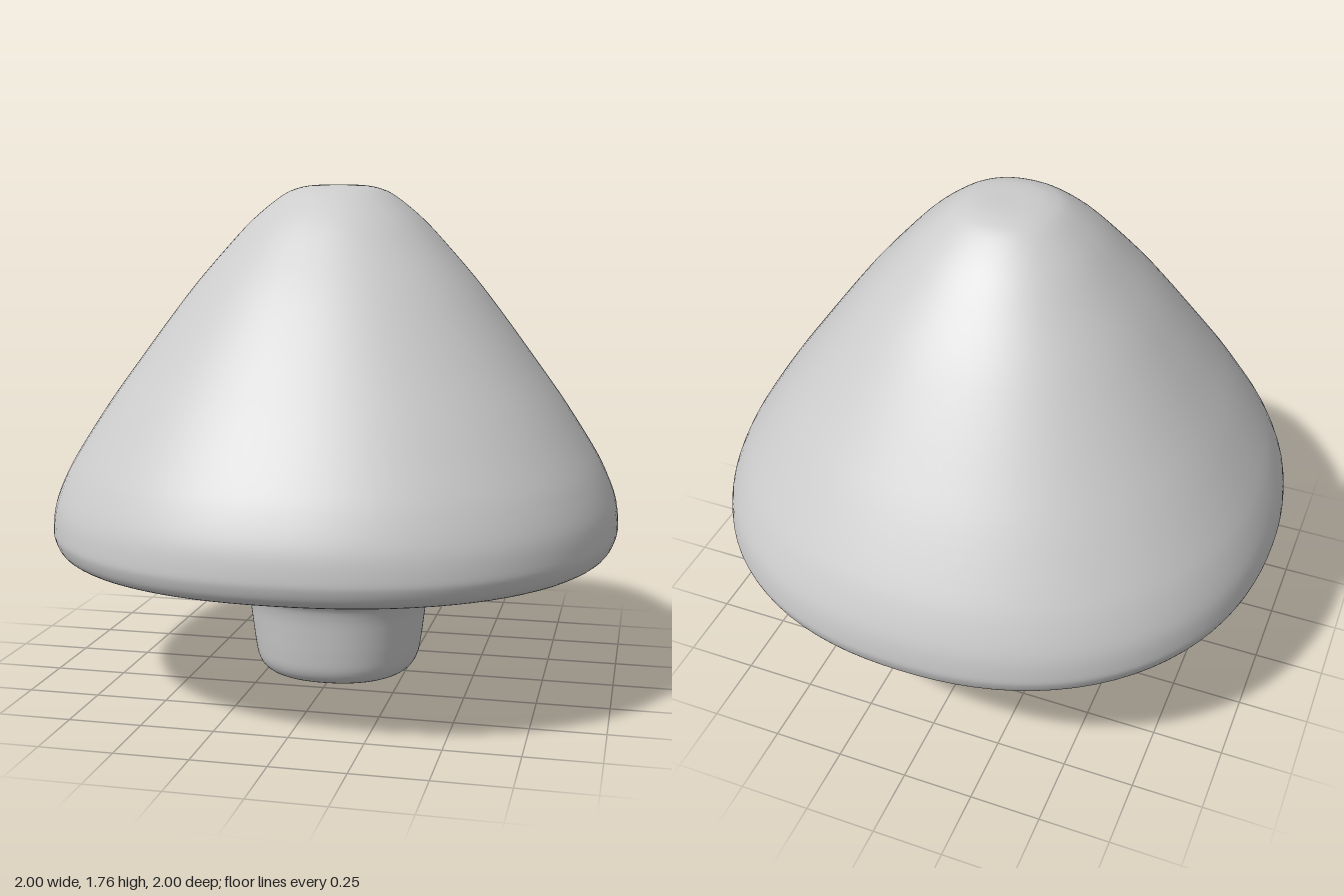
import * as THREE from 'three';
import { mergeVertices } from 'three/addons/utils/BufferGeometryUtils.js';

// Half profile (radius, height) from the stem's base, under the cap, up to the tip
const PROFILE = [
  [0, 0.004], [0.1, 0.005], [0.2, 0.01], [0.26, 0.027], [0.29, 0.065], [0.303, 0.13],
  [0.312, 0.2], [0.322, 0.27], [0.34, 0.317], [0.385, 0.345], [0.5, 0.383], [0.65, 0.427],
  [0.8, 0.467], [0.86, 0.48], [0.93, 0.488], [0.975, 0.51], [0.996, 0.55], [1, 0.59],
  [0.988, 0.67], [0.95, 0.765], [0.9, 0.855], [0.8, 1.01], [0.7, 1.15], [0.6, 1.287],
  [0.5, 1.418], [0.4, 1.535], [0.3, 1.643], [0.2, 1.725], [0.14, 1.753], [0.08, 1.763], [0, 1.764],
];
const SQUARENESS = 2.2; // superellipse exponent of the plan outline (2 = circle)

// Swells a round lathe into a soft square by pushing out its diagonals
function squareOff(geometry, n) {
  const p = geometry.attributes.position;
  for (let i = 0; i < p.count; i++) {
    const x = p.getX(i), z = p.getZ(i), r = Math.hypot(x, z);
    if (r < 1e-6) { p.setXYZ(i, 0, p.getY(i), 0); continue; }
    const k = Math.pow(Math.abs(x / r) ** n + Math.abs(z / r) ** n, -1 / n);
    p.setXYZ(i, x * k, p.getY(i), z * k);
  }
}

export function createModel() {
  const group = new THREE.Group();
  group.name = 'mushroom';

  const curve = new THREE.SplineCurve(PROFILE.map(([r, y]) => new THREE.Vector2(r, y)));
  const points = curve.getPoints(120).map((p) => new THREE.Vector2(Math.max(p.x, 0), p.y));
  points[0].x = points[points.length - 1].x = 0;

  // Weld the seam and poles so the normals run smoothly all round
  let geometry = new THREE.LatheGeometry(points, 96);
  geometry.deleteAttribute('uv');
  geometry.deleteAttribute('normal');
  squareOff(geometry, SQUARENESS);
  geometry = mergeVertices(geometry, 1e-5);
  geometry.computeVertexNormals();

  // Cap and stem flow into each other as one skin
  const body = new THREE.Mesh(geometry, new THREE.MeshStandardMaterial({ color: 0xcccccc }));
  body.name = 'capAndStem';
  group.add(body);
  return group;
}
